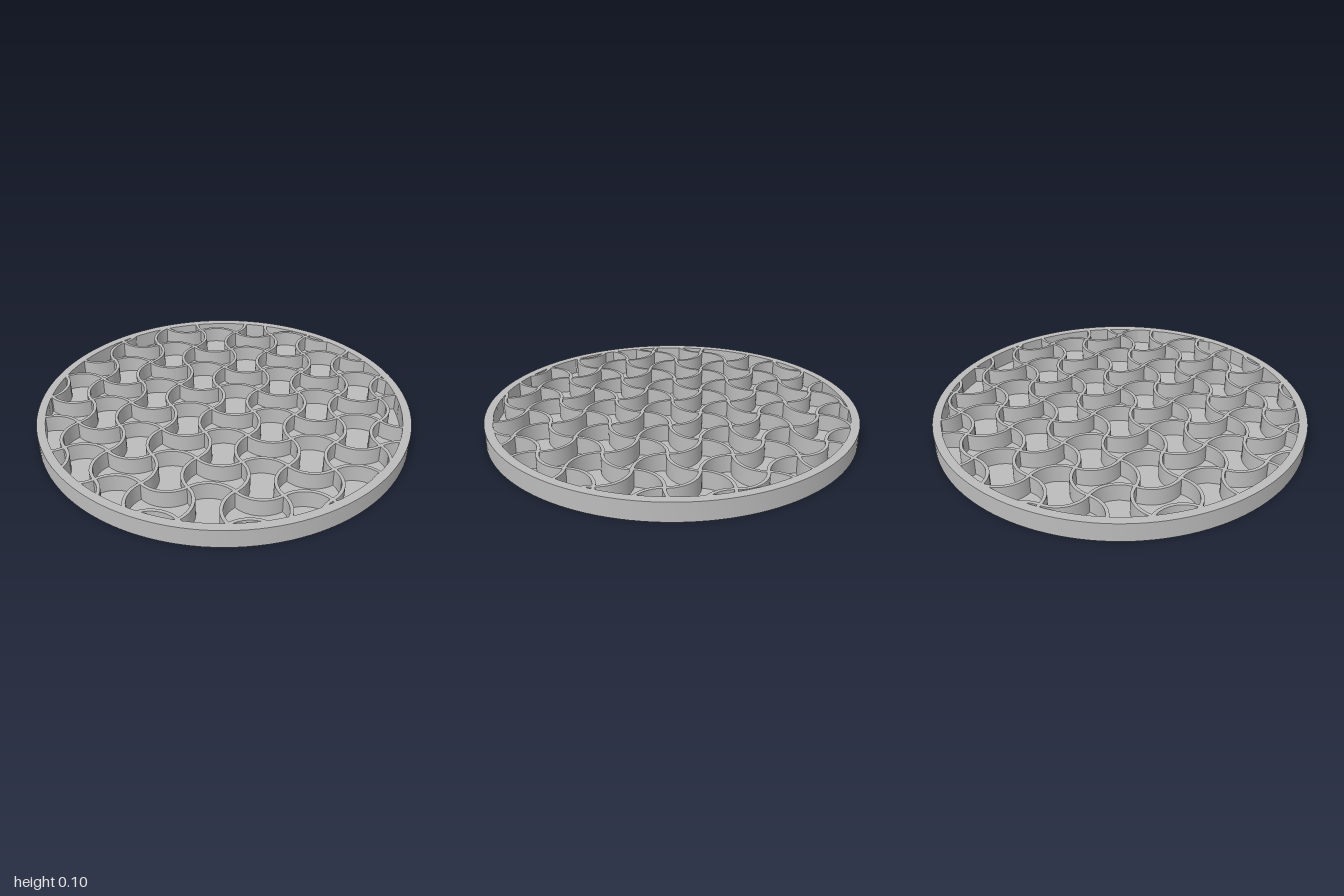
import * as THREE from 'three';
import { toCreasedNormals, mergeGeometries } from 'three/addons/utils/BufferGeometryUtils.js';

const HEIGHT = 0.1, FLOOR = 0.01, INNER = 0.955;
const HX = 0.1555, HZ = 0.1595;   // half periods of the wave lattice
const WALL = 0.017;               // rib thickness

// Upright rib following a list of points {x, z, nx, nz}
function rib(points) {
  const side = s => points.map(p => new THREE.Vector2(p.x + s * p.nx * WALL / 2, -(p.z + s * p.nz * WALL / 2)));
  const shape = new THREE.Shape([...side(1), ...side(-1).reverse()]);
  const geometry = new THREE.ExtrudeGeometry(shape, { depth: HEIGHT - FLOOR / 2, bevelEnabled: false });
  return geometry.rotateX(-Math.PI / 2).translate(0, FLOOR / 2, 0);
}

// Quarter arc around (cx, cz), cut where it enters the rim
function arcRibs(cx, cz, start) {
  const steps = 18, ribs = [];
  let run = [];
  const flush = () => {
    if (run.length > 1) ribs.push(rib(run));
    run = [];
  };
  for (let k = 0; k <= steps; k++) {
    const a = start + (k / steps) * Math.PI / 2;
    const nx = Math.cos(a), nz = Math.sin(a);
    const x = cx + HX * nx, z = cz + HZ * nz;
    if (Math.hypot(x, z) < 0.977) run.push({ x, z, nx, nz });
    else flush();
  }
  flush();
  return ribs;
}

export function createModel() {
  const group = new THREE.Group();
  const grey = new THREE.MeshStandardMaterial({ color: 0xbcbcbc });
  grey.name = 'grey';

  // Round tray: base plate, floor and rim in one profile
  const profile = [[0, 0], [1, 0], [1, HEIGHT], [INNER, HEIGHT], [INNER, FLOOR], [0, FLOOR]]
    .map(([r, y]) => new THREE.Vector2(r, y));
  const tray = new THREE.Mesh(toCreasedNormals(new THREE.LatheGeometry(profile, 128), 0.6), grey);
  tray.name = 'tray';
  group.add(tray);

  // Wavy ribs: each axe-head cell has two bulging and two hollow sides
  const ribs = [];
  for (let i = -4; i <= 4; i++) {
    for (let j = -4; j <= 4; j++) {
      const x = i * 2 * HX, z = -HZ / 2 + j * 2 * HZ;
      ribs.push(
        ...arcRibs(x, z, 0),
        ...arcRibs(x, z, Math.PI),
        ...arcRibs(x + HX, z - HZ, Math.PI / 2),
        ...arcRibs(x - HX, z + HZ, -Math.PI / 2),
      );
    }
  }
  const lattice = new THREE.Mesh(toCreasedNormals(mergeGeometries(ribs), 0.6), grey);
  lattice.name = 'wavyRibs';
  group.add(lattice);
  return group;
}
